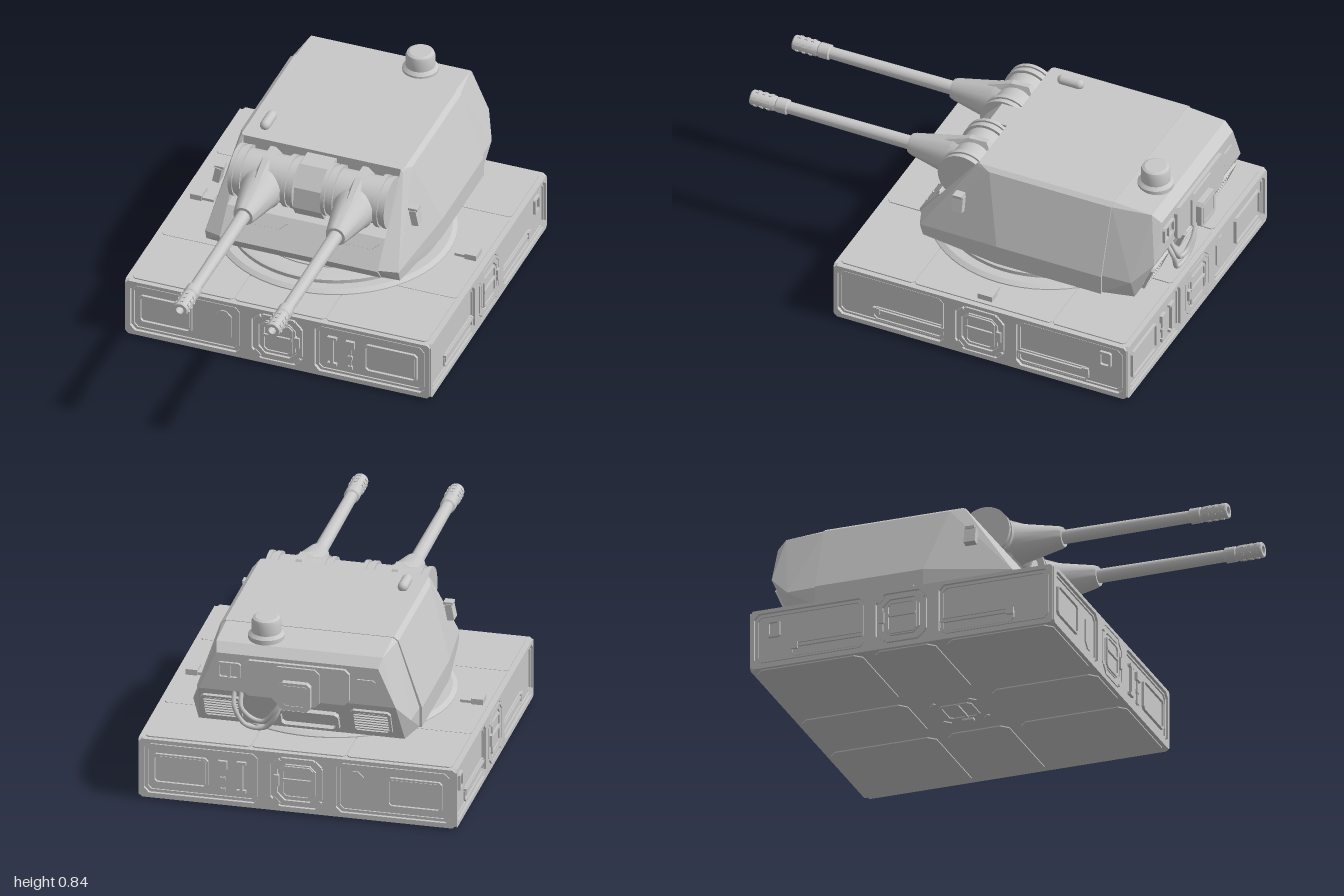
import * as THREE from 'three';
import { toCreasedNormals } from 'three/addons/utils/BufferGeometryUtils.js';
import { ConvexGeometry } from 'three/addons/geometries/ConvexGeometry.js';

const metal = new THREE.MeshStandardMaterial({ color: 0xc8c8c8 });
metal.name = 'plain grey metal';
const CZ = -0.27; // centre of the base in z

function add(parent, name, geo, x = 0, y = 0, z = 0) {
  const m = new THREE.Mesh(geo, metal);
  m.name = name;
  m.position.set(x, y, z);
  parent.add(m);
  return m;
}
function sub(parent, name, x = 0, y = 0, z = 0) {
  const g = new THREE.Group();
  g.name = name;
  g.position.set(x, y, z);
  parent.add(g);
  return g;
}
const box = (w, h, d) => new THREE.BoxGeometry(w, h, d);

// Rectangle with cut corners
function octPoints(w, h, c, x = 0, y = 0) {
  const a = w / 2, b = h / 2;
  return [[-a + c, -b], [a - c, -b], [a, -b + c], [a, b - c], [a - c, b], [-a + c, b], [-a, b - c], [-a, -b + c]]
    .map(p => new THREE.Vector2(p[0] + x, p[1] + y));
}
const extrude = (shape, depth) => new THREE.ExtrudeGeometry(shape, { depth, bevelEnabled: false });
const plate = (w, h, c, d) => extrude(new THREE.Shape(octPoints(w, h, c)), d);
function frame(w, h, c, t, d) {
  const s = new THREE.Shape(octPoints(w, h, c));
  s.holes.push(new THREE.Path(octPoints(w - 2 * t, h - 2 * t, c * 0.8)));
  return extrude(s, d);
}
// Turned part, profile of [radius, height], creased at sharp edges
function turned(profile, n = 32) {
  return toCreasedNormals(new THREE.LatheGeometry(profile.map(p => new THREE.Vector2(p[0], p[1])), n), 0.5);
}
const hull = pts => new ConvexGeometry(pts.map(p => new THREE.Vector3(...p)));

// Square hatch with frame, leaf, corner bolts and handle; faces +z
function hatch(parent, s) {
  const g = sub(parent, 'hatch');
  add(g, 'hatchFrame', frame(0.215, 0.215, 0.04, 0.022, 0.012));
  add(g, 'hatchLeaf', plate(0.155, 0.155, 0.025, 0.01));
  add(g, 'hatchLeafRim', frame(0.135, 0.145, 0.015, 0.01, 0.017));
  add(g, 'hatchBar', box(0.13, 0.012, 0.014), 0, 0.01, 0.012);
  add(g, 'hatchHandle', box(0.022, 0.05, 0.02), s * 0.088, 0.005, 0.012);
  for (const x of [-1, 1]) for (const y of [-1, 1]) {
    const b = add(g, 'cornerLug', box(0.035, 0.012, 0.012), x * 0.088, y * 0.088, 0.011);
    b.rotation.z = -x * y * Math.PI / 4;
  }
  return g;
}

// One wall of the base: plate with three recesses, local z = 0 is the outer surface
function wall(parent, name, width, s, kind) {
  const g = sub(parent, name);
  const shape = new THREE.Shape(octPoints(width, 0.265, 0.012, 0, 0.1375));
  for (const [x, w] of [[-0.41, 0.49], [0, 0.23], [0.41, 0.49]])
    shape.holes.push(new THREE.Path(octPoints(w, 0.228, w > 0.3 ? 0.022 : 0.04, x, 0.14)));
  add(g, 'wallPlate', extrude(shape, 0.014), 0, 0, -0.014);
  hatch(g, s).position.set(0, 0.14, -0.012);
  for (const x of [-0.41, 0.41])
    add(g, 'recessRim', frame(0.475, 0.213, 0.02, 0.008, 0.007), x, 0.14, -0.014);
  if (kind === 'doors') {
    for (const x of [-0.5, 0.5]) {
      add(g, 'doorRim', frame(0.235, 0.135, 0.012, 0.008, 0.012), x, 0.138, -0.014);
      add(g, 'door', plate(0.21, 0.11, 0.006, 0.005), x, 0.138, -0.014);
    }
    add(g, 'accessCover', plate(0.075, 0.15, 0.025, 0.006), -s * 0.245, 0.14, -0.014);
    add(g, 'grabBar', box(0.014, 0.13, 0.012), s * 0.24, 0.135, -0.006);
    for (const y of [0.072, 0.2]) add(g, 'grabFoot', box(0.04, 0.012, 0.014), s * 0.24, y, -0.007);
    add(g, 'switchBox', box(0.038, 0.036, 0.014), s * 0.32, 0.185, -0.007);
    add(g, 'conduit', box(0.006, 0.11, 0.006), s * 0.32, 0.115, -0.01);
    for (const y of [0.07, 0.12]) add(g, 'conduitClip', box(0.02, 0.016, 0.01), s * 0.32, y, -0.009);
  } else {
    for (const x of [-0.33, 0.33]) {
      add(g, 'rail', box(0.32, 0.013, 0.01), x, 0.09, -0.009);
      add(g, 'railPlate', frame(0.33, 0.065, 0.015, 0.006, 0.007), x, 0.075, -0.014);
      add(g, 'railEnd', box(0.03, 0.03, 0.013), x * 1.45, 0.09, -0.008);
    }
    add(g, 'sideBox', frame(0.055, 0.075, 0.006, 0.009, 0.012), s * 0.57, 0.18, -0.014);
  }
  return g;
}

function makeBase(root) {
  const base = sub(root, 'base', 0, 0, CZ);
  add(base, 'baseCore', box(1.332, 0.265, 1.322), 0, 0.1375, 0);
  wall(base, 'frontWall', 1.35, 1, 'doors').position.z = 0.675;
  const back = wall(base, 'backWall', 1.35, -1, 'doors');
  back.position.z = -0.675;
  back.rotation.y = Math.PI;
  for (const s of [-1, 1]) {
    const w = wall(base, s > 0 ? 'leftWall' : 'rightWall', 1.34, s, 'rails');
    w.position.x = s * 0.68;
    w.rotation.y = s * Math.PI / 2;
  }
  // Deck plates and underside plates, separated by narrow seams
  for (const [i, x] of [-0.43, 0, 0.43].entries()) for (const [j, z] of [-0.485, 0, 0.485].entries()) {
    const w = i === 1 ? 0.4 : 0.45, d = j === 1 ? 0.63 : 0.335;
    add(base, 'deckPlate', plate(w, d, 0.012, 0.006).rotateX(-Math.PI / 2), x, 0.269, z);
    const uw = i === 1 ? 0.29 : 0.47, ud = j === 1 ? 0.27 : 0.47;
    if (i !== 1 || j !== 1)
      add(base, 'undersidePlate', plate(uw, ud, 0.03, 0.005).rotateX(Math.PI / 2), x, 0.005, z * 0.87);
  }
  const under = hatch(base, 1);
  under.position.y = 0.017;
  under.rotation.x = Math.PI / 2;
  for (const s of [-1, 1]) {
    add(base, 'deckLatch', box(0.1, 0.014, 0.05), s * 0.585, 0.28, 0);
    add(base, 'deckLatchBlock', box(0.05, 0.026, 0.068), s * 0.61, 0.287, 0);
  }
  add(base, 'turretRing', turned([[0.505, 0.27], [0.505, 0.28], [0.485, 0.292], [0.445, 0.292], [0.445, 0.308],
    [0.43, 0.313], [0.36, 0.313], [0.36, 0.318], [0.295, 0.318], [0.295, 0.36]], 64));
}

function makeHull(turret) {
  // Middle body with the open gun bay
  const profile = [[0.12, 0.352], [0.165, 0.41], [0.076, 0.52], [-0.11, 0.52], [-0.11, 0.75], [-0.73, 0.75], [-0.73, 0.352]];
  const body = extrude(new THREE.Shape(profile.map(p => new THREE.Vector2(...p))), 0.7);
  add(turret, 'hullMiddle', body.rotateY(-Math.PI / 2).translate(0.35, 0, 0));
  // Armoured cheeks and sloped sides
  const side = [[0.35, 0.352, 0.115], [0.35, 0.41, 0.155], [0.35, 0.75, -0.11], [0.35, 0.75, -0.73], [0.35, 0.352, -0.73],
    [0.43, 0.352, 0.11], [0.43, 0.4, 0.125], [0.362, 0.738, -0.105], [0.36, 0.75, -0.12], [0.36, 0.75, -0.73],
    [0.48, 0.352, -0.25], [0.48, 0.44, -0.25], [0.48, 0.352, -0.73], [0.48, 0.44, -0.73], [0.38, 0.735, -0.17], [0.38, 0.735, -0.73]];
  for (const s of [-1, 1]) add(turret, s > 0 ? 'leftSide' : 'rightSide', hull(side.map(p => [p[0] * s, p[1], p[2]])));
  // Tapered rear section
  const rear = [];
  for (const s of [-1, 1])
    for (const p of [[0.355, 0.748, -0.73], [0.375, 0.733, -0.73], [0.47, 0.44, -0.73], [0.47, 0.355, -0.73], [0.355, 0.735, -0.905],
      [0.345, 0.7, -0.945], [0.42, 0.53, -0.945], [0.465, 0.44, -0.86], [0.44, 0.355, -0.865]]) rear.push([p[0] * s, p[1], p[2]]);
  add(turret, 'hullRear', hull(rear));

  // Front sill covers and bolts on the sloped plate
  const slope = sub(turret, 'frontSlope', 0, 0.465, 0.1205);
  slope.rotation.x = -0.681;
  const cover = new THREE.Shape([[-0.13, 0.07], [-0.13, 0.045], [-0.1, 0.015], [0.1, 0.015], [0.13, 0.045], [0.13, 0.07]].map(p => new THREE.Vector2(...p)));
  for (const s of [-1, 1]) add(slope, 'sillCover', extrude(cover, 0.006), s * 0.205, 0, 0);
  for (let i = -5; i <= 5; i++) add(slope, 'bolt', box(0.009, 0.009, 0.006), i * 0.06, -0.05, 0.001);

  // Side sensors
  for (const s of [-1, 1]) {
    add(turret, 'sensorHead', box(0.03, 0.07, 0.05), s * 0.437, 0.575, -0.055).rotation.z = s * 0.2;
    add(turret, 'sensorBracket', box(0.04, 0.012, 0.04), s * 0.43, 0.613, -0.055);
  }
  // Roof lamp and dome
  const lamp = add(turret, 'roofLamp', new THREE.CapsuleGeometry(0.022, 0.075, 6, 16).rotateX(Math.PI / 2), -0.285, 0.763, -0.23);
  lamp.name = 'roofLamp';
  add(turret, 'roofDome', turned([[0.076, 0.72], [0.076, 0.755], [0.062, 0.768], [0.062, 0.815], [0.057, 0.829], [0.046, 0.835], [0, 0.835]]), 0.16, 0, -0.83);
}

function makeRear(turret) {
  const rear = sub(turret, 'rearFittings', 0, 0, -0.945);
  rear.rotation.y = Math.PI;
  add(rear, 'rearPanel', plate(0.45, 0.16, 0.02, 0.016), 0, 0.605, 0);
  add(rear, 'rearBoxPlate', plate(0.2, 0.17, 0.02, 0.026), 0, 0.59, 0);
  add(rear, 'rearBox', plate(0.135, 0.125, 0.015, 0.052), 0, 0.555, 0);
  add(rear, 'rearBoxRim', frame(0.11, 0.1, 0.01, 0.01, 0.055), 0, 0.555, 0);
  add(rear, 'windowRim', frame(0.1, 0.075, 0.008, 0.01, 0.012), -0.29, 0.625, 0);
  add(rear, 'windowBar', box(0.01, 0.06, 0.01), -0.29, 0.625, 0.005);
  add(rear, 'smallCover', plate(0.09, 0.06, 0.01, 0.007), 0.29, 0.615, 0);
  // Lower slope: vent grilles and step
  const low = sub(rear, 'rearSlope', 0, 0.4425, -0.0385);
  low.rotation.x = 0.405;
  for (const x of [-0.33, 0.31]) {
    add(low, 'grilleRim', frame(0.17, 0.13, 0.012, 0.012, 0.012), x, 0, 0);
    for (let i = -3; i <= 3; i++) add(low, 'grilleSlat', box(0.15, 0.006, 0.012), x, i * 0.015, 0.003);
  }
  add(low, 'stepFrame', frame(0.26, 0.1, 0.015, 0.014, 0.02), 0.04, -0.02, 0);
  // Hanging hoses
  for (const d of [0, 0.03]) {
    const curve = new THREE.CatmullRomCurve3([[-0.27 + d, 0.53, -0.01], [-0.265 + d, 0.47, 0.018], [-0.22 + d, 0.39 + d, 0.01],
      [-0.14, 0.385 + d, 0.015], [-0.09, 0.44 + d, 0.025], [-0.06, 0.52, 0.02]].map(p => new THREE.Vector3(...p)));
    add(rear, 'hose', new THREE.TubeGeometry(curve, 28, 0.01, 10));
  }
}

function makeGuns(turret) {
  add(turret, 'bayCentre', hull([-0.065, 0.065].flatMap(x => [[x, 0.515, -0.11], [x, 0.515, 0.03], [x, 0.57, 0.065],
    [x, 0.66, 0.05], [x, 0.735, -0.02], [x, 0.735, -0.11]])));
  for (const s of [-1, 1]) {
    const g = sub(turret, s > 0 ? 'leftGun' : 'rightGun', s * 0.205, 0.62, 0);
    // Trunnion drum with raised bands
    const drum = [[0, -0.142], [0.112, -0.142], [0.112, -0.125], [0.104, -0.125], [0.104, -0.11], [0.112, -0.11], [0.112, -0.09],
      [0.1, -0.09], [0.1, 0.09], [0.112, 0.09], [0.112, 0.11], [0.104, 0.11], [0.104, 0.125], [0.112, 0.125], [0.112, 0.142], [0, 0.142]];
    add(g, 'trunnion', turned(drum, 40).rotateZ(Math.PI / 2), 0, 0.012, -0.03);
    // Tapered sleeve, barrel and bored muzzle
    add(g, 'sleeve', turned([[0, -0.02], [0.09, -0.02], [0.09, 0.07], [0.085, 0.08], [0.048, 0.255], [0.042, 0.27], [0.03, 0.27]]).rotateX(Math.PI / 2));
    add(g, 'barrel', turned([[0.03, 0.26], [0.026, 0.83], [0.033, 0.835], [0.033, 0.88], [0.029, 0.885], [0.033, 0.895],
      [0.033, 0.995], [0.03, 1], [0.017, 1], [0.017, 0.9], [0, 0.9]], 24).rotateX(Math.PI / 2));
    for (let i = 0; i < 6; i++) for (const z of [0.915, 0.945, 0.975]) {
      const a = i * Math.PI / 3;
      add(g, 'muzzleRib', box(0.012, 0.006, 0.014), Math.sin(a) * 0.033, Math.cos(a) * 0.033, z).rotation.z = -a;
    }
    // Crest above the sleeve
    add(g, 'crest', hull([-1, 1].flatMap(k => [[k * 0.03, 0.08, -0.11], [k * 0.012, 0.128, -0.08], [k * 0.014, 0.125, 0.0],
      [k * 0.03, 0.07, 0.07], [k * 0.01, 0.07, 0.13], [k * 0.03, 0.06, -0.02]])));
  }
}

export function createModel() {
  const root = new THREE.Group();
  root.name = 'twinGunTurret';
  makeBase(root);
  const turret = sub(root, 'turret');
  makeHull(turret);
  makeRear(turret);
  makeGuns(turret);
  return root;
}
